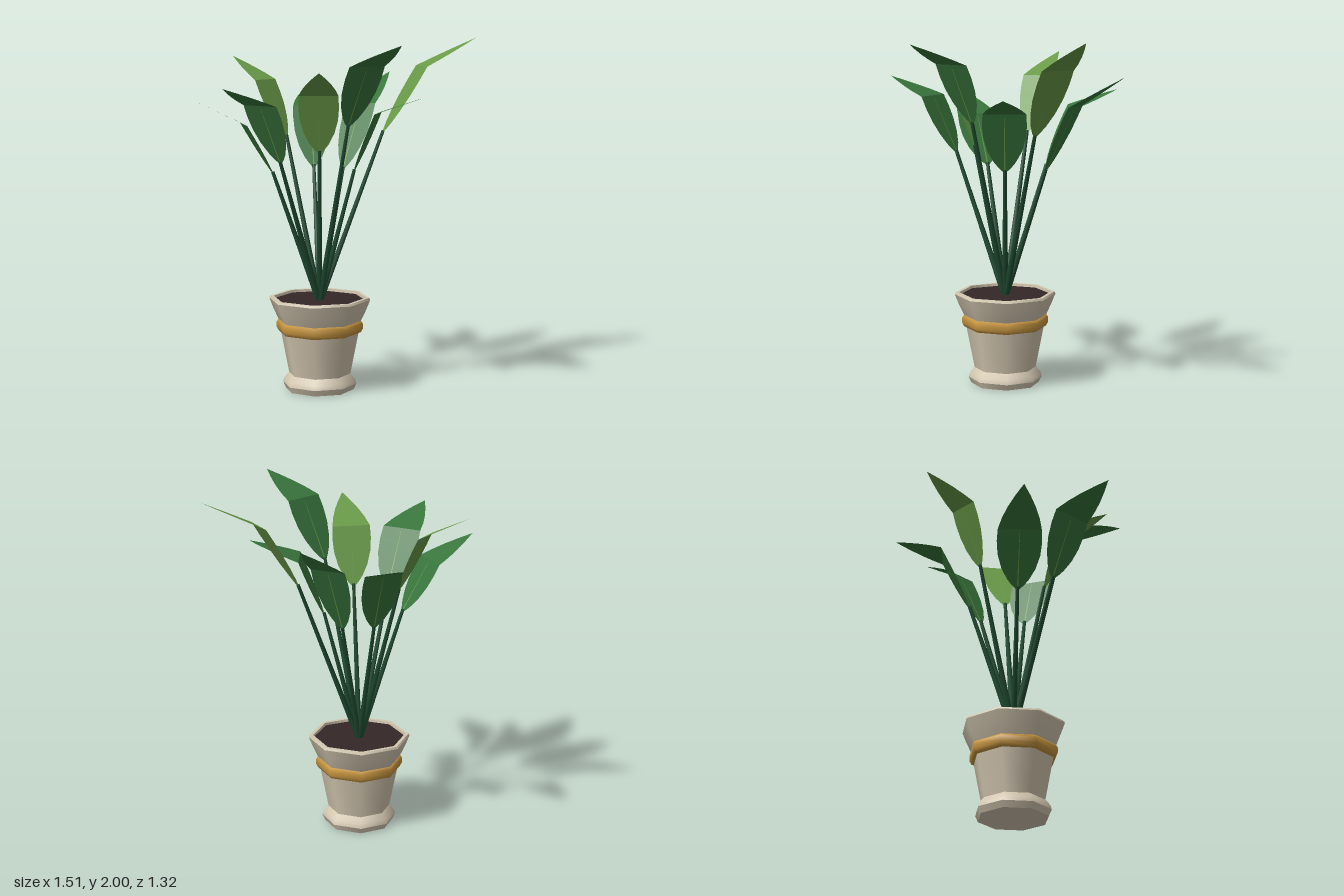
import * as THREE from 'three';

const mat = (name, color, side = THREE.FrontSide) => {
  const m = new THREE.MeshStandardMaterial({ color, side });
  m.name = name;
  return m;
};

const CX = -0.105; // pot axis

// base, fold and tip of each leaf, then half width and whether it is a young (light) leaf
const LEAVES = [
  [[0.235, 1.46, -0.145], [0.45, 1.84, -0.255], [0.755, 2.0, -0.375], 0.097, true],
  [[0.09, 1.25, 0.01], [0.23, 1.59, 0.02], [0.51, 1.685, 0.04], 0.12, false],
  [[0.08, 1.52, 0.19], [0.2, 1.86, 0.31], [0.405, 1.98, 0.53], 0.12, false],
  [[-0.08, 1.37, 0.17], [-0.07, 1.7, 0.28], [-0.03, 1.835, 0.54], 0.108, true],
  [[-0.28, 1.32, 0.27], [-0.37, 1.65, 0.41], [-0.525, 1.755, 0.655], 0.12, false],
  [[-0.35, 1.24, 0.09], [-0.51, 1.53, 0.148], [-0.76, 1.66, 0.24], 0.122, false],
  [[-0.31, 1.43, -0.135], [-0.447, 1.76, -0.202], [-0.665, 1.89, -0.35], 0.088, true],
  [[-0.17, 1.25, -0.235], [-0.21, 1.6, -0.4], [-0.28, 1.69, -0.66], 0.105, false],
  [[0.0, 1.24, -0.22], [0.087, 1.62, -0.383], [0.23, 1.79, -0.64], 0.102, false],
];

// [position along the leaf (0 base, 1 fold, 2 tip), relative half width]
const OUTLINE = [[0, 0.03], [0.08, 0.27], [0.18, 0.5], [0.36, 0.78], [0.58, 0.97], [0.8, 1.03],
  [1, 1], [1.25, 0.85], [1.5, 0.63], [1.75, 0.34], [2, 0]];

// flat strip through rows of [centre, half width]
function strip(rows, side) {
  const pos = [], idx = [];
  rows.forEach(([c, w], i) => {
    for (const s of [-1, 1]) pos.push(c.x + side.x * w * s, c.y, c.z + side.z * w * s);
    const a = i * 2;
    if (i) idx.push(a - 2, a - 1, a + 1, a - 2, a + 1, a);
  });
  const indexed = new THREE.BufferGeometry();
  indexed.setAttribute('position', new THREE.Float32BufferAttribute(pos, 3));
  indexed.setIndex(idx);
  const g = indexed.toNonIndexed();
  g.computeVertexNormals();
  return g;
}

export function createModel() {
  const group = new THREE.Group();
  const stone = mat('cream stone', 0xd3c7b0);
  const gold = mat('gold', 0xc7953f);
  const soilMat = mat('dark soil', 0x342727);
  const stemMat = mat('stem green', 0x1f4a30);
  const darkLeaf = mat('deep leaf green', 0x38753c, THREE.DoubleSide);
  const lightLeaf = mat('young leaf green', 0x699a48, THREE.DoubleSide);
  const ribMat = mat('midrib green', 0x6f9f4a, THREE.DoubleSide);

  const add = (parent, name, geometry, material) => {
    const m = new THREE.Mesh(geometry, material);
    m.name = name;
    parent.add(m);
    return m;
  };

  // octagonal pot, one ring per crisp-edged section
  const pot = new THREE.Group();
  pot.name = 'pot';
  pot.position.x = CX;
  group.add(pot);
  const ring = (name, pts, material) =>
    add(pot, name, new THREE.LatheGeometry(pts.map(p => new THREE.Vector2(...p)), 8), material);
  ring('potBase', [[0, 0], [0.197, 0]], stone);
  ring('footLower', [[0.197, 0], [0.213, 0.035]], stone);
  ring('footUpper', [[0.213, 0.035], [0.205, 0.06], [0.178, 0.092]], stone);
  ring('potBody', [[0.178, 0.092], [0.228, 0.35]], stone);
  ring('band', [[0.222, 0.33], [0.238, 0.335], [0.249, 0.355], [0.249, 0.385], [0.24, 0.4], [0.225, 0.401]], gold);
  ring('collar', [[0.235, 0.395], [0.247, 0.42], [0.268, 0.465], [0.291, 0.523]], stone);
  ring('rimEdge', [[0.291, 0.523], [0.285, 0.535]], stone);
  ring('rimTop', [[0.285, 0.535], [0.265, 0.535]], stone);
  ring('rimInside', [[0.265, 0.535], [0.262, 0.51]], stone);
  ring('soil', [[0.264, 0.52], [0, 0.52]], soilMat);

  // stems and folded leaves
  const root = new THREE.Vector3(CX, 0.5, 0);
  const up = new THREE.Vector3(0, 1, 0);
  LEAVES.forEach(([b, f, t, width, young]) => {
    const [base, fold, tip] = [b, f, t].map(p => new THREE.Vector3(...p));
    const plant = new THREE.Group();
    plant.name = 'leafStalk';
    group.add(plant);

    const dir = base.clone().sub(root);
    const length = dir.length() + 0.02;
    dir.normalize();
    const stem = add(plant, 'stem', new THREE.CylinderGeometry(0.01, 0.018, length, 6), stemMat);
    stem.position.copy(root).addScaledVector(dir, length / 2);
    stem.quaternion.setFromUnitVectors(up, dir);

    const along = s => s <= 1 ? base.clone().lerp(fold, s) : fold.clone().lerp(tip, s - 1);
    const side = new THREE.Vector3(tip.z - base.z, 0, base.x - tip.x).normalize();
    add(plant, 'leaf', strip(OUTLINE.map(([s, w]) => [along(s), w * width]), side),
      young ? lightLeaf : darkLeaf);

    // thin midrib on both faces of the lower blade
    const normal = fold.clone().sub(base).cross(side).normalize();
    for (const s of [-1, 1]) {
      const rib = add(plant, 'midrib', strip([[along(0), 0.004], [along(0.95), 0.0012]], side), ribMat);
      rib.position.copy(normal).multiplyScalar(0.002 * s);
    }
  });
  return group;
}
